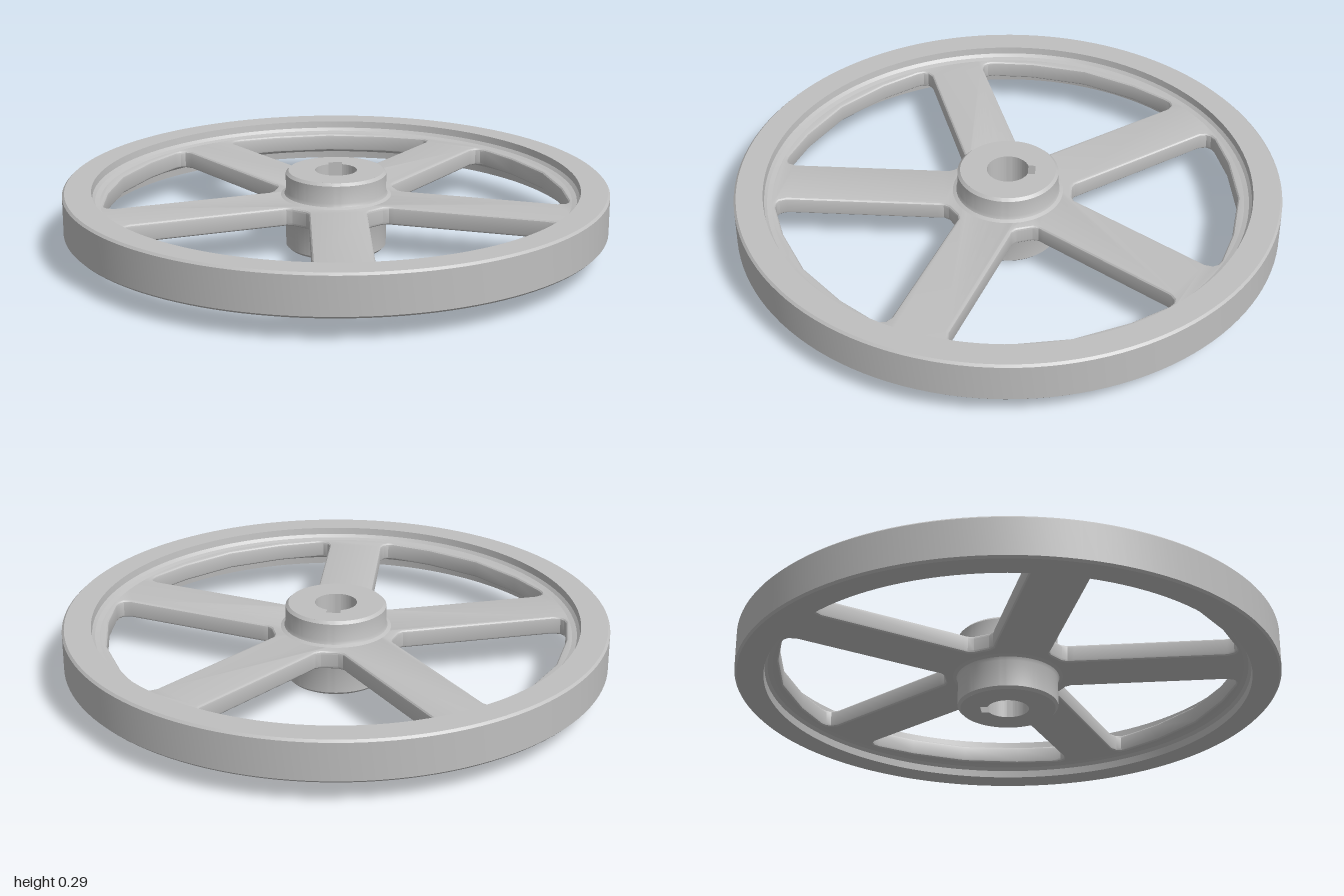
import * as THREE from 'three';
import { toCreasedNormals } from 'three/addons/utils/BufferGeometryUtils.js';

const steel = new THREE.MeshStandardMaterial({ color: 0xbfbfbf });
steel.name = 'grey steel';

const WEB_LOW = 0.128, WEB_HIGH = 0.198;

function part(name, geometry) {
  const mesh = new THREE.Mesh(toCreasedNormals(geometry, 0.5), steel);
  mesh.name = name;
  return mesh;
}

const lathe = (points) =>
  new THREE.LatheGeometry(points.map(([r, y]) => new THREE.Vector2(r, y)), 128);

// Extrudes a plan shape upwards from height y; shape +y becomes -z
function slab(shape, y, depth, bevel = 0) {
  const geometry = new THREE.ExtrudeGeometry(shape, {
    depth: depth - 2 * bevel, curveSegments: 48, bevelEnabled: bevel > 0,
    bevelSize: bevel, bevelThickness: bevel, bevelOffset: -bevel, bevelSegments: 3,
  });
  return geometry.rotateX(-Math.PI / 2).translate(0, y + bevel, 0);
}

function disc(radius) {
  const shape = new THREE.Shape();
  shape.absarc(0, 0, radius, 0, Math.PI * 2);
  return shape;
}

// Window between two spokes: straight sides, faceted outer edge, rounded corners
function windowPath(angle) {
  const half = [
    [0, 0.843], [0.215, 0.815], [0.365, 0.77], [0.385, 0.757], [0.394, 0.74],
    [0.388, 0.713], [0.062, 0.264], [0.05, 0.246], [0.03, 0.236],
  ];
  const mirrored = half.slice(1).reverse().map(([x, y]) => [-x, y]);
  const centre = new THREE.Vector2();
  return new THREE.Path([...half, ...mirrored].map(([x, y]) =>
    new THREE.Vector2(x, y).rotateAround(centre, angle)));
}

// Round bore with a square keyway at the back
function borePath() {
  const r = 0.077, w = 0.025, a = Math.acos(w / r);
  const path = new THREE.Path();
  path.moveTo(w, 0.1);
  path.lineTo(w, r * Math.sin(a));
  path.absarc(0, 0, r, a, Math.PI - a - Math.PI * 2, true);
  path.lineTo(-w, 0.1);
  path.lineTo(w, 0.1);
  return path;
}

export function createModel() {
  const group = new THREE.Group();
  group.name = 'spokedWheel';

  // Rim with small edge chamfers and fillets running into the web
  group.add(part('rim', lathe([
    [0.865, WEB_LOW], [0.882, WEB_LOW - 0.005], [0.892, WEB_LOW - 0.016],
    [0.895, 0.085], [0.992, 0.085], [1, 0.093], [1, 0.232], [0.992, 0.24],
    [0.895, 0.24], [0.892, WEB_HIGH + 0.016], [0.882, WEB_HIGH + 0.005], [0.865, WEB_HIGH],
  ])));

  // Web plate with five windows, leaving five spokes
  const web = disc(0.93);
  for (let i = 0; i < 5; i++) web.holes.push(windowPath(i * Math.PI * 2 / 5));
  web.holes.push(new THREE.Path(disc(0.14).getPoints(48)));
  group.add(part('spokes', slab(web, WEB_LOW, WEB_HIGH - WEB_LOW, 0.012)));

  // Hub core carrying the bore, wrapped by a chamfered collar
  const core = disc(0.175);
  core.holes.push(borePath());
  group.add(part('hubCore', slab(core, 0, 0.29)));
  group.add(part('hubCollar', lathe([
    [0.175, 0], [0.185, 0.01], [0.185, WEB_LOW - 0.018], [0.19, WEB_LOW - 0.006],
    [0.203, WEB_LOW], [0.203, WEB_HIGH], [0.19, WEB_HIGH + 0.006],
    [0.185, WEB_HIGH + 0.018], [0.185, 0.28], [0.175, 0.29],
  ])));

  return group;
}
